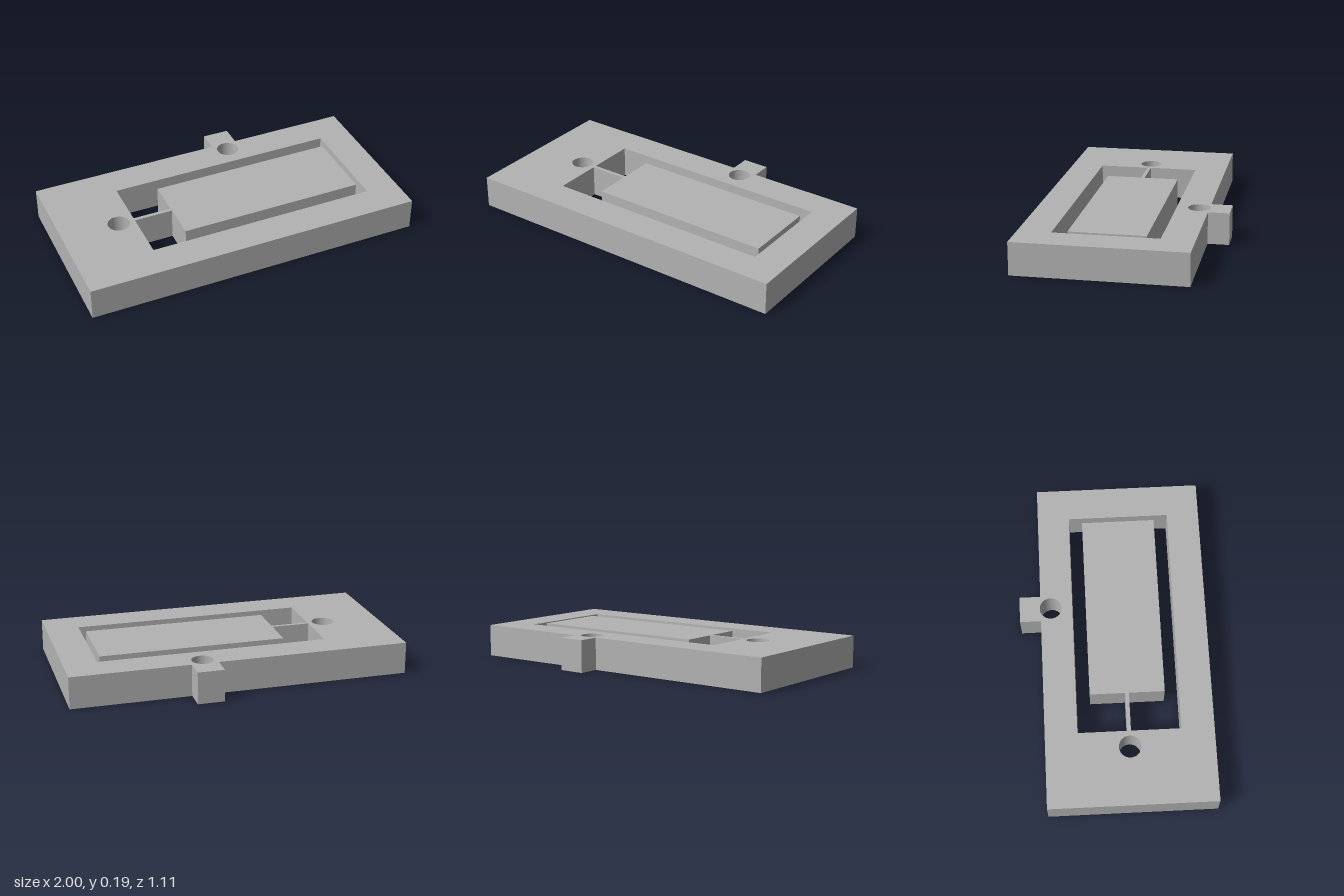
import * as THREE from 'three';

const HEIGHT = 0.19;

// Plan coordinates are [x, z]; the shape's y axis is -z.
function trace(path, points) {
  path.setFromPoints(points.map(([x, z]) => new THREE.Vector2(x, -z)));
  path.closePath();
  return path;
}

function roundHole(x, z, radius) {
  return new THREE.Path().absarc(x, -z, radius, 0, Math.PI * 2, true);
}

export function createModel() {
  const group = new THREE.Group();
  group.name = 'flexurePlate';

  const grey = new THREE.MeshStandardMaterial({ color: 0xb3b3b3 });
  grey.name = 'grey';

  // Rectangular frame with a small tab on the back edge
  const plate = trace(new THREE.Shape(), [
    [-1, 0.555], [1, 0.555], [1, -0.43], [0.3, -0.43],
    [0.3, -0.555], [0.143, -0.555], [0.143, -0.43], [-1, -0.43],
  ]);

  // Slot around the inner paddle, left open where the thin beam joins the frame
  const slot = trace(new THREE.Path(), [
    [-0.56, 0.048], [-0.56, -0.24], [0.805, -0.24], [0.805, 0.363],
    [-0.56, 0.363], [-0.56, 0.07], [-0.33, 0.07], [-0.33, 0.28],
    [0.775, 0.28], [0.775, -0.16], [-0.33, -0.16], [-0.33, 0.048],
  ]);

  // Round holes beside the beam and in front of the tab
  plate.holes.push(slot, roundHole(-0.655, 0.06, 0.065), roundHole(0.222, -0.37, 0.065));

  const geometry = new THREE.ExtrudeGeometry(plate, {
    depth: HEIGHT, bevelEnabled: false, curveSegments: 32,
  });
  geometry.rotateX(-Math.PI / 2);

  const mesh = new THREE.Mesh(geometry, grey);
  mesh.name = 'frameWithPaddleAndBeam';
  group.add(mesh);
  return group;
}
